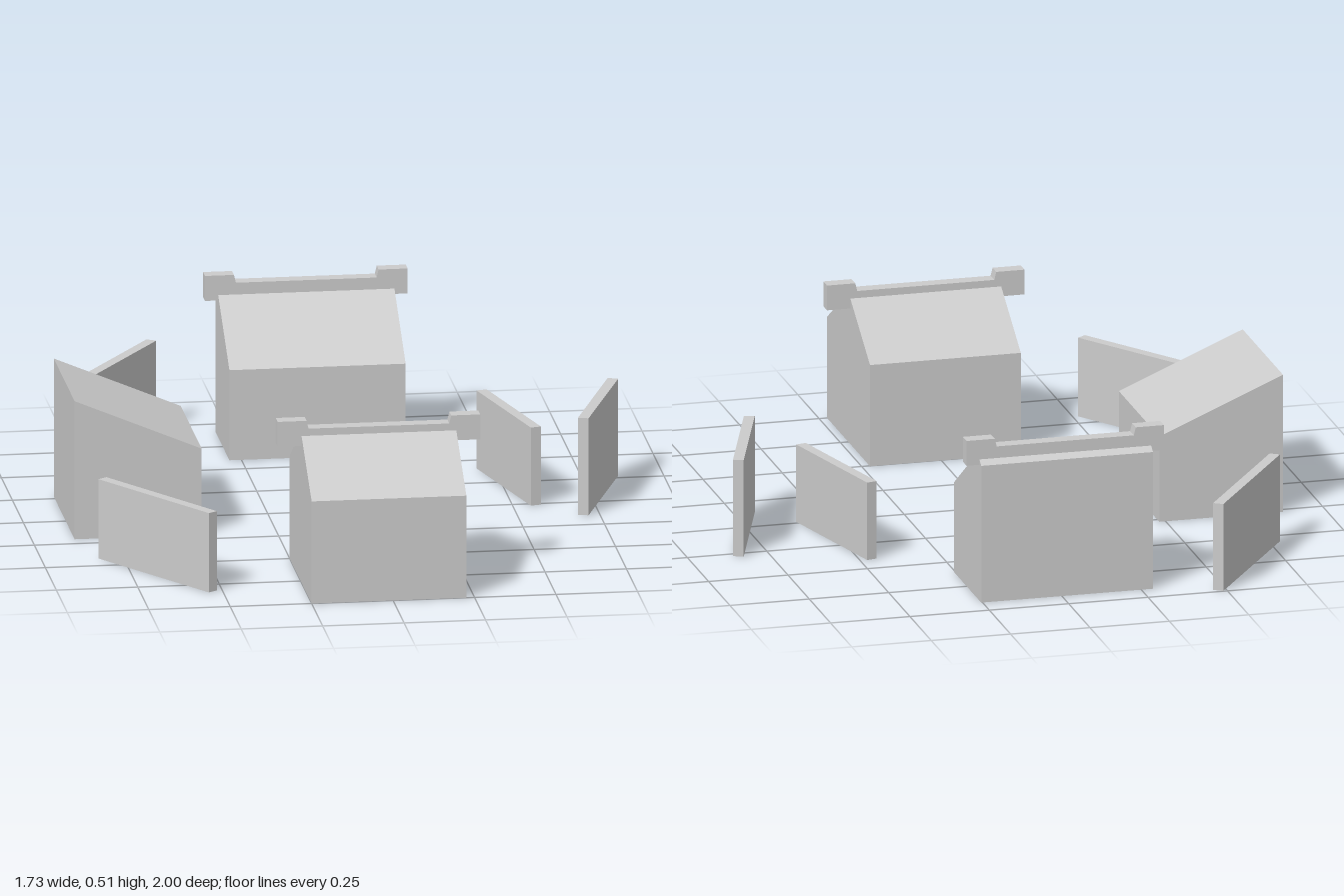
import * as THREE from 'three';

const material = new THREE.MeshStandardMaterial({ color: 0xcccccc, flatShading: true, side: THREE.DoubleSide });

function polygon(points) {
  return new THREE.Shape(points.map(([a, b]) => new THREE.Vector2(a, b)));
}

function addMesh(parent, name, geometry) {
  const mesh = new THREE.Mesh(geometry, material);
  mesh.name = name;
  parent.add(mesh);
  return mesh;
}

// Drops the floor so the house is a shell open at the bottom
function removeFloor(geometry) {
  const p = geometry.getAttribute('position');
  const kept = [];
  for (let i = 0; i < p.count; i += 3) {
    const onFloor = [0, 1, 2].every((k) => Math.abs(p.getY(i + k)) < 1e-5);
    if (onFloor) continue;
    for (let k = 0; k < 3; k++) kept.push(p.getX(i + k), p.getY(i + k), p.getZ(i + k));
  }
  const shell = new THREE.BufferGeometry();
  shell.setAttribute('position', new THREE.Float32BufferAttribute(kept, 3));
  shell.computeVertexNormals();
  return shell;
}

function extrude(points, depth) {
  return new THREE.ExtrudeGeometry(polygon(points), { depth, bevelEnabled: false });
}

// Gabled house: profile given as [z, y], run along x
function gabledHouse(name, x0, x1, profile, ridgeZ) {
  const house = new THREE.Group();
  house.name = name;
  const body = extrude(profile, x1 - x0);
  body.rotateY(-Math.PI / 2);
  body.translate(x1, 0, 0);
  addMesh(house, 'houseShell', removeFloor(body));

  // Ridge beam with a raised block overhanging each gable
  const half = 0.311, inner = 0.222, low = 0.433, mid = 0.487, top = 0.512;
  const beam = extrude([
    [-half, low], [half, low], [half, top], [inner, top], [inner - 0.006, mid],
    [-inner + 0.006, mid], [-inner, top], [-half, top],
  ], 0.044);
  beam.translate((x0 + x1) / 2, 0, ridgeZ - 0.022);
  addMesh(house, 'ridgeBeam', beam);
  return house;
}

// Freestanding wall between two ground points [x, z]
function wall(parent, name, [xa, za], [xb, zb], height) {
  const length = Math.hypot(xb - xa, zb - za);
  const mesh = addMesh(parent, name, new THREE.BoxGeometry(0.033, height, length));
  mesh.position.set((xa + xb) / 2, height / 2, (za + zb) / 2);
  mesh.rotation.y = Math.atan2(xb - xa, zb - za);
}

export function createModel() {
  const group = new THREE.Group();
  group.name = 'houseRing';

  // Two gabled houses
  group.add(gabledHouse('frontHouse', -0.25, 0.225,
    [[0.495, 0], [1, 0], [1, 0.323], [0.748, 0.478], [0.495, 0.323]], 0.748));
  group.add(gabledHouse('backHouse', -0.287, 0.254,
    [[-0.92, 0], [-0.598, 0], [-0.598, 0.285], [-0.876, 0.464], [-0.92, 0.436]], -0.876));

  // Side house with a single roof slope, profile in x and y
  const lean = extrude([[-0.87, 0], [-0.48, 0], [-0.48, 0.272], [-0.87, 0.437]], 0.475);
  lean.translate(0, 0, -0.273);
  addMesh(group, 'sideHouse', removeFloor(lean));

  // Freestanding walls between the houses
  wall(group, 'backRightWall', [-0.474, -0.988], [-0.77, -0.549], 0.277);
  wall(group, 'frontRightWall', [-0.813, 0.412], [-0.53, 0.828], 0.251);
  wall(group, 'innerLeftWall', [0.462, -0.412], [0.571, 0.016], 0.247);
  wall(group, 'outerLeftWall', [0.847, -0.278], [0.699, 0.144], 0.307);

  return group;
}
